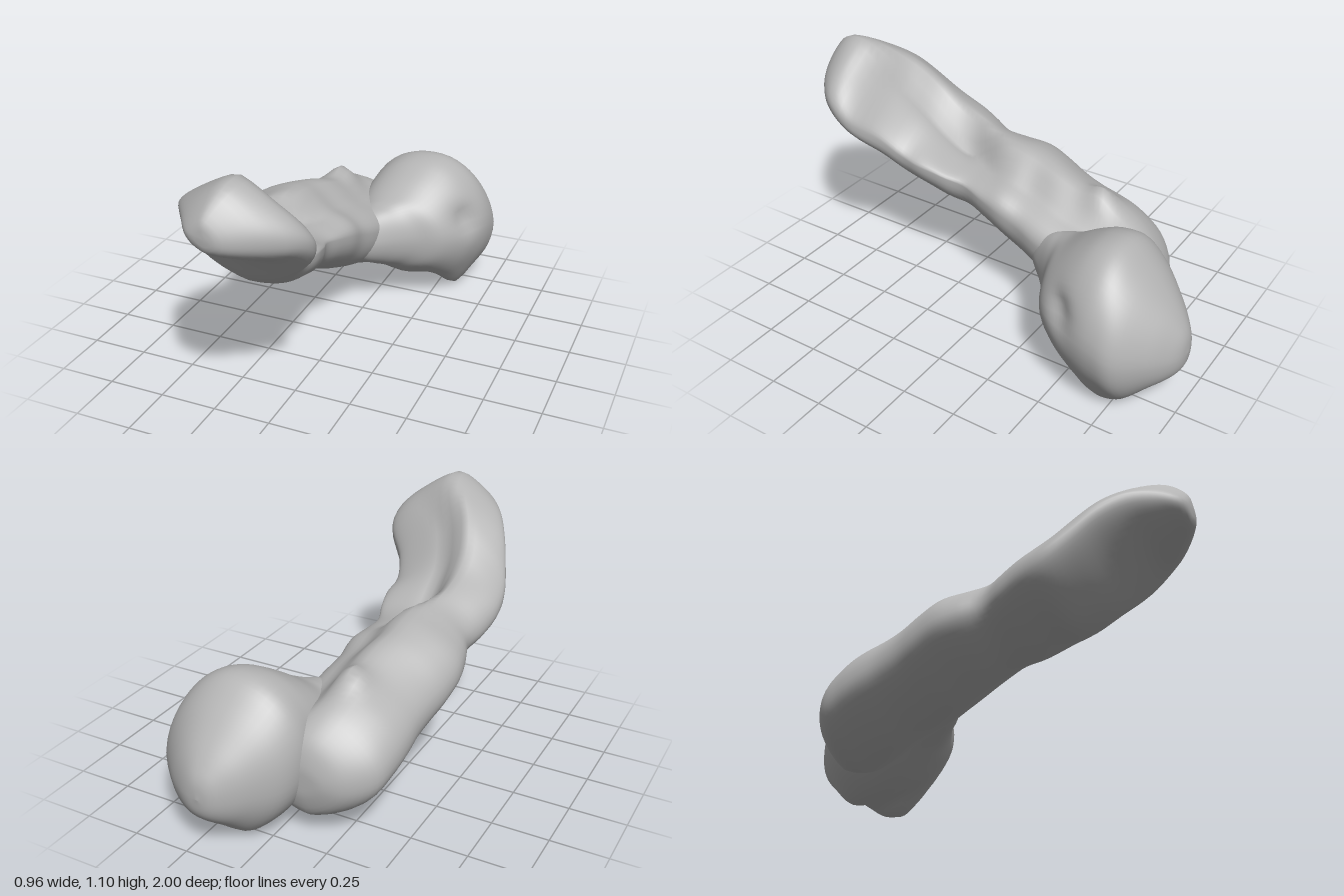
import * as THREE from 'three';
import { mergeVertices } from 'three/addons/utils/BufferGeometryUtils.js';

const { smoothstep } = THREE.MathUtils;
const bump = (d, r) => Math.exp(-(d * d) / (r * r));

// Lofts rounded cross-sections along z.
// Station: [z, xMin, xMax, yMin, yMax, step], step = how far the +x half of the top drops.
function loft(stations, rows, cols, shape) {
  const spline = (pick) => new THREE.CatmullRomCurve3(
    stations.map((s) => new THREE.Vector3(...pick(s))), false, 'catmullrom', 0.5);
  const widths = spline((s) => [s[0], s[1], s[2]]);
  const heights = spline((s) => [s[3], s[4], s[5]]);
  const pos = [], index = [];
  for (let i = 0; i <= rows; i++) {
    const w = widths.getPoint(i / rows), h = heights.getPoint(i / rows);
    const a = Math.max(0, w.z - w.y) / 2, b = Math.max(0, h.y - h.x) / 2;
    for (let j = 0; j < cols; j++) {
      const t = (j / cols) * Math.PI * 2;
      const round = (v) => Math.sign(v) * Math.pow(Math.abs(v), 0.92);
      const u = round(Math.cos(t)), v = round(Math.sin(t));
      const p = new THREE.Vector3((w.y + w.z) / 2 + a * u, (h.x + h.y) / 2 + b * v, w.x);
      shape(p, u, v, b, h.z);
      pos.push(p.x, p.y, p.z);
    }
  }
  for (let i = 0; i < rows; i++) {
    for (let j = 0; j < cols; j++) {
      const k = (j + 1) % cols;
      const p = i * cols + j, q = i * cols + k;
      index.push(p, p + cols, q, q, p + cols, q + cols);
    }
  }
  let geo = new THREE.BufferGeometry();
  geo.setAttribute('position', new THREE.Float32BufferAttribute(pos, 3));
  geo.setIndex(index);
  geo = mergeVertices(geo, 1e-4);
  geo.computeVertexNormals();
  return geo;
}

export function createModel() {
  const group = new THREE.Group();
  const grey = new THREE.MeshStandardMaterial({ color: 0xb4b4b4 });
  grey.name = 'softGrey';
  const add = (name, geo) => {
    const mesh = new THREE.Mesh(geo, grey);
    mesh.name = name;
    group.add(mesh);
  };

  // Long curved body, rising towards the front tip
  const body = [
    [1, -0.1, -0.1, 0.93, 0.93, 0],
    [0.985, -0.18, -0.03, 0.87, 1.0, 0],
    [0.9, -0.25, 0.1, 0.82, 1.08, 0.05],
    [0.8, -0.32, 0.19, 0.77, 1.1, 0.12],
    [0.7, -0.38, 0.2, 0.68, 1.07, 0.3],
    [0.6, -0.43, 0.11, 0.57, 0.99, 0.42],
    [0.5, -0.47, 0.07, 0.49, 0.9, 0.55],
    [0.4, -0.48, 0.07, 0.46, 0.82, 0.65],
    [0.3, -0.46, 0.05, 0.42, 0.77, 0.75],
    [0.2, -0.43, 0.02, 0.39, 0.74, 0.7],
    [0.1, -0.46, 0.04, 0.35, 0.73, 0.6],
    [0, -0.48, 0.06, 0.31, 0.72, 0.45],
    [-0.1, -0.47, 0.06, 0.26, 0.69, 0.4],
    [-0.2, -0.45, 0.08, 0.22, 0.66, 0.4],
    [-0.3, -0.44, 0.09, 0.19, 0.63, 0.4],
    [-0.4, -0.44, 0.09, 0.15, 0.6, 0.3],
    [-0.5, -0.43, 0.1, 0.11, 0.57, 0.25],
    [-0.6, -0.4, 0.1, 0.08, 0.52, 0.1],
    [-0.68, -0.31, 0.05, 0.11, 0.45, 0],
    [-0.715, -0.22, -0.03, 0.2, 0.36, 0],
    [-0.72, -0.13, -0.13, 0.28, 0.28, 0],
  ];
  add('body', loft(body, 80, 48, (p, u, v, b, step) => {
    const full = Math.min(1, b / 0.15);
    const front = smoothstep(p.z, 0.3, 0.55);
    const tip = smoothstep(p.z, 0.6, 0.85);
    const mid = 1 - smoothstep(p.z, 0.05, 0.3);
    if (v > 0) {
      // High ridge on one side, lower shelf on the other, groove between them
      const drop = smoothstep(u, -0.25 + 0.25 * tip + 0.3 * mid, 0.2 + 0.6 * tip + 0.4 * mid);
      const groove = 0.25 * bump(u - 0.02, 0.2) * (1 - tip) * (1 - mid);
      // Outer flank of the ridge slopes away
      const flank = (0.25 + 0.3 * front) * Math.max(0, -u - 0.1);
      p.y -= b * v * (step * (drop + groove) + flank);
      p.y += 0.06 * v * bump(p.x + 0.17, 0.07) * bump(p.z + 0.4, 0.07);
    } else {
      // Underside slants up on the ridge side
      p.y += 0.32 * b * v * Math.min(0, u);
    }
    // Shelf edge hangs lower towards the tip
    p.y -= 0.09 * full * Math.max(0, u) * (0.6 + 0.4 * v) * front;
    // Gentle lumps
    p.y += 0.025 * b * Math.sin(p.z * 17 + p.x * 9) * Math.abs(v);
  }));

  // Bulbous rear head
  const head = [
    [-0.14, 0.0, 0.0, 0.38, 0.38, 0],
    [-0.2, -0.06, 0.07, 0.29, 0.46, 0],
    [-0.28, -0.08, 0.15, 0.24, 0.5, 0],
    [-0.34, -0.1, 0.23, 0.21, 0.52, 0],
    [-0.4, -0.11, 0.34, 0.17, 0.55, 0],
    [-0.5, -0.12, 0.42, 0.1, 0.62, 0],
    [-0.6, -0.12, 0.46, 0.05, 0.67, 0],
    [-0.7, -0.12, 0.48, 0.025, 0.67, 0],
    [-0.8, -0.08, 0.47, 0.03, 0.59, 0],
    [-0.9, 0.01, 0.38, 0.1, 0.48, 0],
    [-0.96, 0.08, 0.3, 0.15, 0.4, 0],
    [-0.99, 0.13, 0.24, 0.2, 0.34, 0],
    [-1, 0.18, 0.18, 0.27, 0.27, 0],
  ];
  add('head', loft(head, 60, 48, (p, u, v, b) => {
    const full = Math.min(1, b / 0.25);
    // Widest low down, leaning inwards at the top
    p.x -= 0.04 * full * Math.max(0, v) * Math.max(0, u);
    if (v < 0) {
      // Two small knobs underneath with a notch between
      p.y += 0.04 * -v * bump(p.x - 0.22, 0.07) * bump(p.z + 0.68, 0.2);
      p.y -= 0.07 * -v * bump(p.x - 0.33, 0.07) * bump(p.z + 0.67, 0.12);
      p.y -= 0.02 * -v * bump(p.x - 0.08, 0.08) * bump(p.z + 0.8, 0.1);
    }
    // Shallow dent on the outer side
    p.x -= 0.04 * Math.max(0, u) * bump(p.y - 0.43, 0.06) * bump(p.z + 0.53, 0.06);
  }));

  return group;
}
